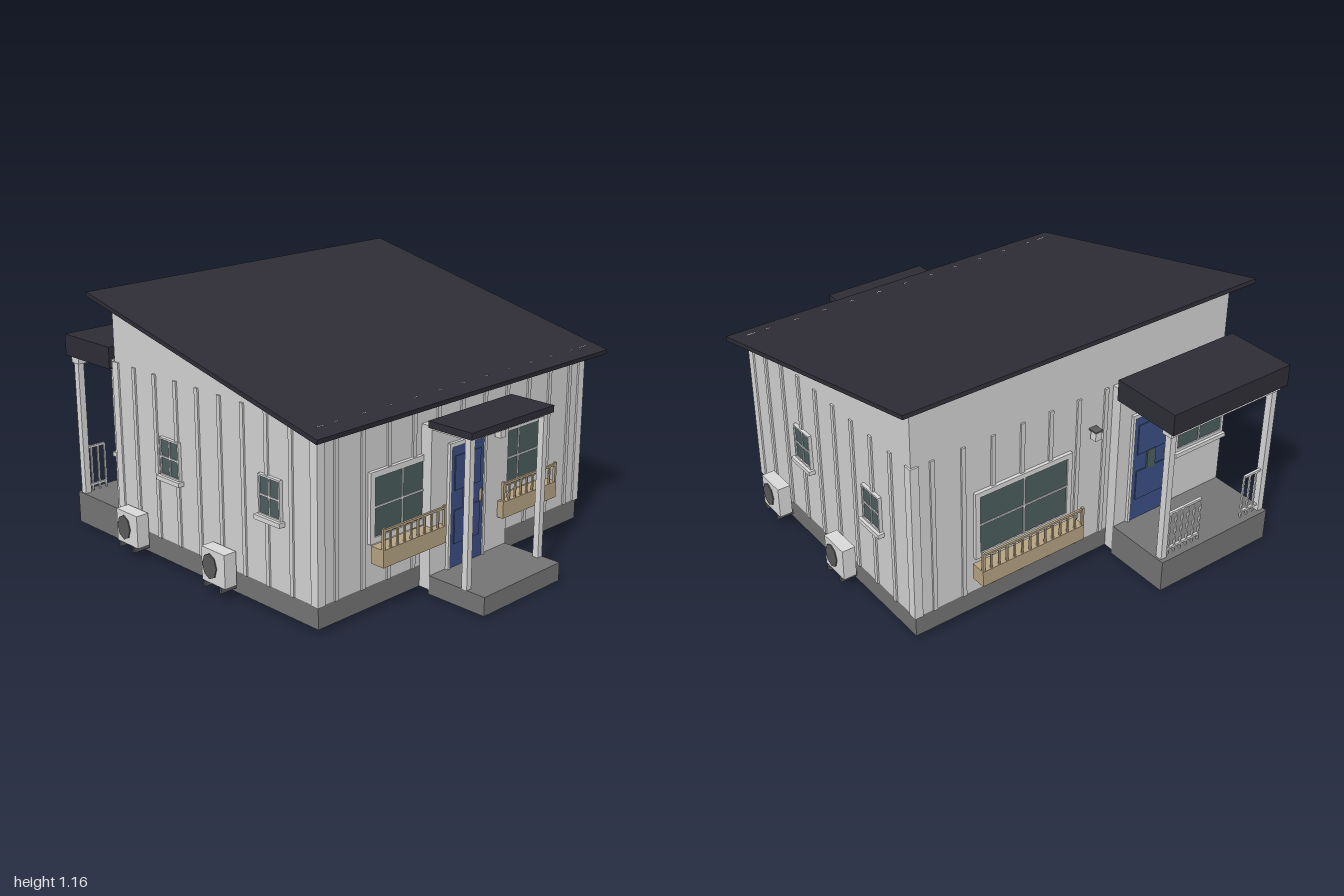
import * as THREE from 'three';

const mat = (name, color) => Object.assign(new THREE.MeshStandardMaterial({ color }), { name });

export function createModel() {
  const M = {
    wall: mat('wall light grey', 0xd2d2d2),
    trim: mat('trim pale grey', 0xd9d9d9),
    base: mat('foundation grey', 0x747474),
    roof: mat('roof charcoal', 0x2e2d36),
    door: mat('door blue', 0x3b4f84),
    glass: mat('window glass', 0x4b5d5d),
    wood: mat('planter tan', 0xb5a383),
    metal: mat('dark metal', 0x5a5a5a),
  };
  const house = new THREE.Group();
  house.name = 'house';

  const add = (parent, name, geo, m) => {
    const mesh = new THREE.Mesh(geo, m);
    mesh.name = name;
    parent.add(mesh);
    return mesh;
  };
  // box given by its minimum and maximum on each axis
  const box = (parent, name, m, x0, x1, y0, y1, z0, z1) => {
    const mesh = add(parent, name, new THREE.BoxGeometry(x1 - x0, y1 - y0, z1 - z0), m);
    mesh.position.set((x0 + x1) / 2, (y0 + y1) / 2, (z0 + z1) / 2);
    return mesh;
  };
  // group whose local +z points out of a wall
  const group = (name, x, y, z, turn = 0) => {
    const g = new THREE.Group();
    g.name = name;
    g.position.set(x, y, z);
    g.rotation.y = turn;
    house.add(g);
    return g;
  };
  const rectPath = (P, x0, x1, y0, y1) => {
    const p = new P();
    p.moveTo(x0, y0); p.lineTo(x1, y0); p.lineTo(x1, y1); p.lineTo(x0, y1); p.closePath();
    return p;
  };
  // rectangular ring standing on the ground plan, open above and below
  const ring = (name, m, x0, x1, z0, z1, y0, y1, t) => {
    const s = rectPath(THREE.Shape, x0, x1, -z1, -z0);
    s.holes.push(rectPath(THREE.Path, x0 + t, x1 - t, -z1 + t, -z0 - t));
    const g = new THREE.ExtrudeGeometry(s, { depth: y1 - y0, bevelEnabled: false });
    g.rotateX(-Math.PI / 2).translate(0, y0, 0);
    return add(house, name, g, m);
  };
  // profile in (z, y), extruded along x
  const sideProfile = (name, m, pts, x0, x1) => {
    const s = new THREE.Shape(pts.map(([z, y]) => new THREE.Vector2(-z, y)));
    const g = new THREE.ExtrudeGeometry(s, { depth: x1 - x0, bevelEnabled: false });
    g.rotateY(Math.PI / 2).translate(x0, 0, 0);
    return add(house, name, g, m);
  };

  const X = 0.825, ZF = 0.65, ZB = -0.62, T = 0.016, TOP = 0.852;
  const under = z => 0.982 - 0.229 * z; // underside of the sloping roof

  // foundation, hollow walls and roof
  ring('foundation', M.base, -X, X, ZB, ZF, 0.02, 0.115, T);
  box(house, 'frontWall', M.wall, -X, X, 0.115, under(ZF), ZF - T, ZF);
  box(house, 'backWall', M.wall, -X, X, 0.115, under(ZB), ZB, ZB + T);
  for (const x0 of [-X, X - T]) {
    sideProfile('sideWall', M.wall,
      [[ZF, 0.115], [ZB, 0.115], [ZB, under(ZB) + 0.005], [ZF, under(ZF) + 0.005]], x0, x0 + T);
  }
  sideProfile('mainRoof', M.roof, [[0.727, 0.815], [0.73, 0.835], [-0.695, 1.158], [-0.697, 1.14]], -0.9, 0.9);

  // vertical battens and corner boards
  for (let i = -5; i <= 5; i++) {
    const x = i * 0.146;
    box(house, 'frontBatten', M.wall, x - 0.01, x + 0.01, 0.115, TOP, ZF, ZF + 0.008);
    box(house, 'backBatten', M.wall, x - 0.01, x + 0.01, 0.115, TOP, ZB - 0.008, ZB);
  }
  for (const s of [-1, 1]) {
    const a = s > 0 ? X : -X - 0.008;
    for (let i = 1; i <= 8; i++) {
      const z = ZB + i * 0.141;
      box(house, 'sideBatten', M.wall, a, a + 0.008, 0.115, TOP, z - 0.01, z + 0.01);
    }
    for (const z of [ZF, ZB]) {
      const o = Math.sign(z);
      box(house, 'cornerBoard', M.trim, s * X - 0.02 - s * 0.012, s * X + 0.02 - s * 0.012, 0.115, TOP, z - 0.02 - o * 0.012, z + 0.02 - o * 0.012);
    }
  }

  // window with frame, glazing bars and optional sill; reaches through the wall
  const makeWindow = (name, x, y, z, turn, w, h, f, cols, sill) => {
    const g = group(name, x, y, z, turn), a = w / 2, b = h / 2, d = -T - 0.006;
    box(g, 'glass', M.glass, -a, a, -b, b, d, 0.01);
    for (const s of [-1, 1]) {
      const cx = s * (a + f / 2), cy = s * (b + f / 2);
      box(g, 'frameSide', M.trim, cx - f / 2, cx + f / 2, -b - f, b + f, d - 0.004, 0.016);
      box(g, 'frameRail', M.trim, -a, a, cy - f / 2, cy + f / 2, d - 0.004, 0.016);
    }
    for (let i = 1; i < cols; i++) {
      const c = -a + (w * i) / cols;
      box(g, 'glazingBar', M.trim, c - 0.004, c + 0.004, -b, b, 0.01, 0.014);
    }
    box(g, 'glazingCrossbar', M.trim, -a, a, -0.004, 0.004, 0.01, 0.014);
    if (sill) box(g, 'sill', M.trim, -a - 0.02, a + 0.02, -b - f - 0.02, -b - f, 0, 0.03);
  };
  const Q = Math.PI / 2;
  for (const s of [-1, 1]) makeWindow('frontWindow', s * 0.368, 0.45, ZF, 0, 0.32, 0.25, 0.026, 2, false);
  makeWindow('backWindow', 0.285, 0.45, ZB, Math.PI, 0.45, 0.28, 0.024, 2, false);
  makeWindow('porchWindow', -0.655, 0.555, -0.67, Math.PI, 0.26, 0.25, 0.015, 2, true);
  for (const z of [0.215, -0.333]) makeWindow('sideWindow', X, 0.503, z, Q, 0.112, 0.155, 0.008, 2, true);
  for (const z of [-0.24, 0.39]) makeWindow('sideWindow', -X, 0.503, z, -Q, 0.112, 0.155, 0.008, 2, true);

  // flower box with a little railing
  const makePlanter = (x, y, z, turn, w) => {
    const g = group('planter', x, y, z, turn), a = w / 2, n = Math.round(w / 0.041);
    box(g, 'planterBox', M.wood, -a, a, 0, 0.075, 0, 0.07);
    box(g, 'topRail', M.wood, -a, a, 0.15, 0.16, 0.058, 0.068);
    for (let i = 0; i <= n; i++) {
      const end = i === 0 || i === n, r = end ? 0.006 : 0.004;
      const c = -a + 0.006 + ((w - 0.012) * i) / n;
      box(g, 'baluster', M.wood, c - r, c + r, 0.075, end ? 0.165 : 0.152, 0.063 - r, 0.063 + r);
    }
  };
  for (const s of [-1, 1]) makePlanter(s * 0.368, 0.222, 0.667, 0, 0.37);
  makePlanter(0.285, 0.2, -0.637, Math.PI, 0.53);

  // panelled door with a small pane
  const makeDoor = (x, y, z, turn) => {
    const g = group('door', x, y, z, turn);
    box(g, 'doorLeaf', M.door, -0.103, 0.103, 0, 0.535, -0.005, 0.008);
    for (const s of [-1, 1]) box(g, 'doorJamb', M.trim, s * 0.11 - 0.007, s * 0.11 + 0.007, 0, 0.55, -0.005, 0.014);
    box(g, 'doorHead', M.trim, -0.117, 0.117, 0.535, 0.553, -0.005, 0.014);
    for (const y0 of [0.105, 0.342]) box(g, 'doorPanel', M.door, -0.08, 0.08, y0, y0 + 0.15, 0.008, 0.013);
    box(g, 'doorPane', M.glass, -0.024, 0.024, 0.25, 0.345, 0.008, 0.0155);
    box(g, 'doorHandle', M.wood, 0.08, 0.086, 0.255, 0.31, 0.008, 0.02);
  };
  makeDoor(-0.031, 0.082, 0.705, 0);
  makeDoor(-0.37, 0.15, -0.67, Math.PI);

  // wall lamp
  const makeLamp = (x, y, z, turn) => {
    const g = group('wallLamp', x, y, z, turn);
    box(g, 'lampShade', M.trim, -0.017, 0.017, -0.025, 0.015, 0.01, 0.042);
    box(g, 'lampCap', M.metal, -0.02, 0.02, 0.015, 0.022, 0, 0.045);
  };
  makeLamp(0.155, 0.623, 0.705, 0);
  makeLamp(-0.08, 0.665, ZB, Math.PI);

  // front entrance: wall panel, step, posts and canopy
  box(house, 'frontEntryPanel', M.wall, -0.247, 0.243, 0.02, 0.73, ZF, 0.705);
  ring('frontStepSides', M.base, -0.247, 0.243, 0.7, 1.0, 0, 0.07, 0.012);
  box(house, 'frontStepTop', M.base, -0.247, 0.243, 0.07, 0.083, 0.7, 1.0);
  for (const x of [-0.234, 0.228]) box(house, 'frontPost', M.trim, x - 0.014, x + 0.014, 0.083, 0.725, 0.88, 0.908);
  box(house, 'frontCanopy', M.roof, -0.262, 0.258, 0.727, 0.757, 0.7, 0.925);
  box(house, 'frontCanopyCeiling', M.trim, -0.248, 0.244, 0.716, 0.727, 0.705, 0.91);

  // back porch: wall panel, slab, posts, railings and canopy
  box(house, 'backEntryPanel', M.wall, -0.81, -0.185, 0.02, 0.85, -0.67, ZB);
  ring('backSlabSides', M.base, -0.81, -0.185, -0.985, -0.665, 0, 0.135, 0.012);
  box(house, 'backSlabTop', M.base, -0.81, -0.185, 0.135, 0.15, -0.985, -0.665);
  for (const x of [-0.79, -0.21]) {
    box(house, 'backPost', M.trim, x - 0.015, x + 0.015, 0.15, 0.78, -0.965, -0.933);
  }
  box(house, 'backPorchBeam', M.trim, -0.81, -0.185, 0.775, 0.805, -0.975, -0.922);
  box(house, 'backPorchCeiling', M.trim, -0.805, -0.185, 0.8, 0.812, -0.98, -0.67);
  box(house, 'backCanopy', M.roof, -0.822, -0.17, 0.806, 0.905, -1.0, -0.665);
  for (const [x0, x1] of [[-0.42, -0.21], [-0.79, -0.68]]) {
    for (const y of [0.175, 0.36]) box(house, 'porchRail', M.trim, x0, x1, y, y + 0.01, -0.955, -0.943);
    const n = Math.round((x1 - x0) / 0.035);
    for (let i = 0; i <= n; i++) {
      const x = x0 + ((x1 - x0) * i) / n;
      box(house, 'porchBaluster', M.trim, x - 0.004, x + 0.004, 0.15, 0.36, -0.953, -0.945);
    }
  }

  // outdoor air units on brackets
  const makeAirUnit = (x, z, turn) => {
    const g = group('airUnit', x, 0.06, z, turn);
    box(g, 'casing', M.trim, -0.073, 0.073, 0, 0.15, 0.012, 0.074);
    const fan = add(g, 'fanGrille', new THREE.CylinderGeometry(0.057, 0.057, 0.006, 8), M.metal);
    fan.rotation.x = Q;
    fan.scale.x = 0.78;
    fan.position.set(-0.02, 0.075, 0.076);
    for (const s of [-1, 1]) {
      box(g, 'bracket', M.metal, s * 0.05 - 0.006, s * 0.05 + 0.006, -0.022, 0, 0, 0.08);
    }
  };
  for (const z of [0.44, -0.11]) makeAirUnit(X, z, Q);
  for (const z of [-0.485, 0.105]) makeAirUnit(-X, z, -Q);

  return house;
}
